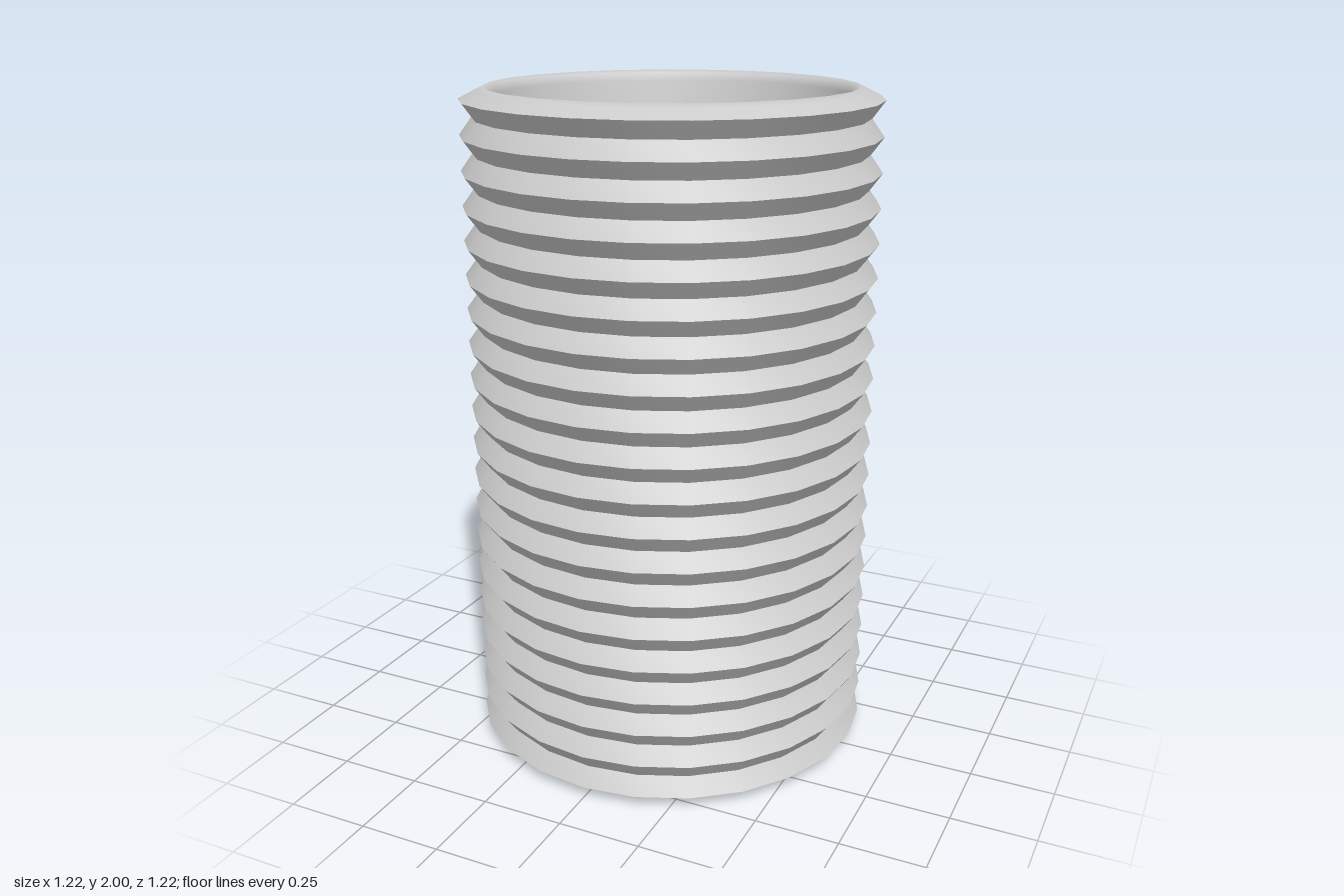
import * as THREE from 'three';
import { toCreasedNormals } from 'three/addons/utils/BufferGeometryUtils.js';

const RIDGES = 20;
const SIDES = 24;
const RIDGE_RADIUS = 0.61;
const VALLEY_RADIUS = 0.573;
const FIRST_RIDGE = 0.035;
const PITCH = (2 - 2 * FIRST_RIDGE) / (RIDGES - 1);

export function createModel() {
  const group = new THREE.Group();
  group.name = 'corrugatedPipe';
  const profile = [];
  const add = (r, y) => profile.push(new THREE.Vector2(r, y));

  // rounded lip, listed from the outer ridge to the bore, as depth below the end
  const lip = [[0.56, 0.01], [0.54, 0], [0.523, 0.008], [0.513, 0.03]];

  // bottom lip, from the bore outwards
  [...lip].reverse().forEach(([r, d]) => add(r, d));

  // zigzag outer wall
  for (let i = 0; i < RIDGES; i++) {
    const y = FIRST_RIDGE + i * PITCH;
    add(RIDGE_RADIUS, y);
    if (i < RIDGES - 1) add(VALLEY_RADIUS, y + PITCH / 2);
  }

  // top lip, then straight down the bore to close the section
  lip.forEach(([r, d]) => add(r, 2 - d));
  profile.push(profile[0].clone());

  const geometry = toCreasedNormals(new THREE.LatheGeometry(profile, SIDES), 0.95);
  const pipe = new THREE.Mesh(geometry, new THREE.MeshStandardMaterial({ color: 0xcccccc }));
  pipe.name = 'ribbedTube';
  group.add(pipe);
  return group;
}
